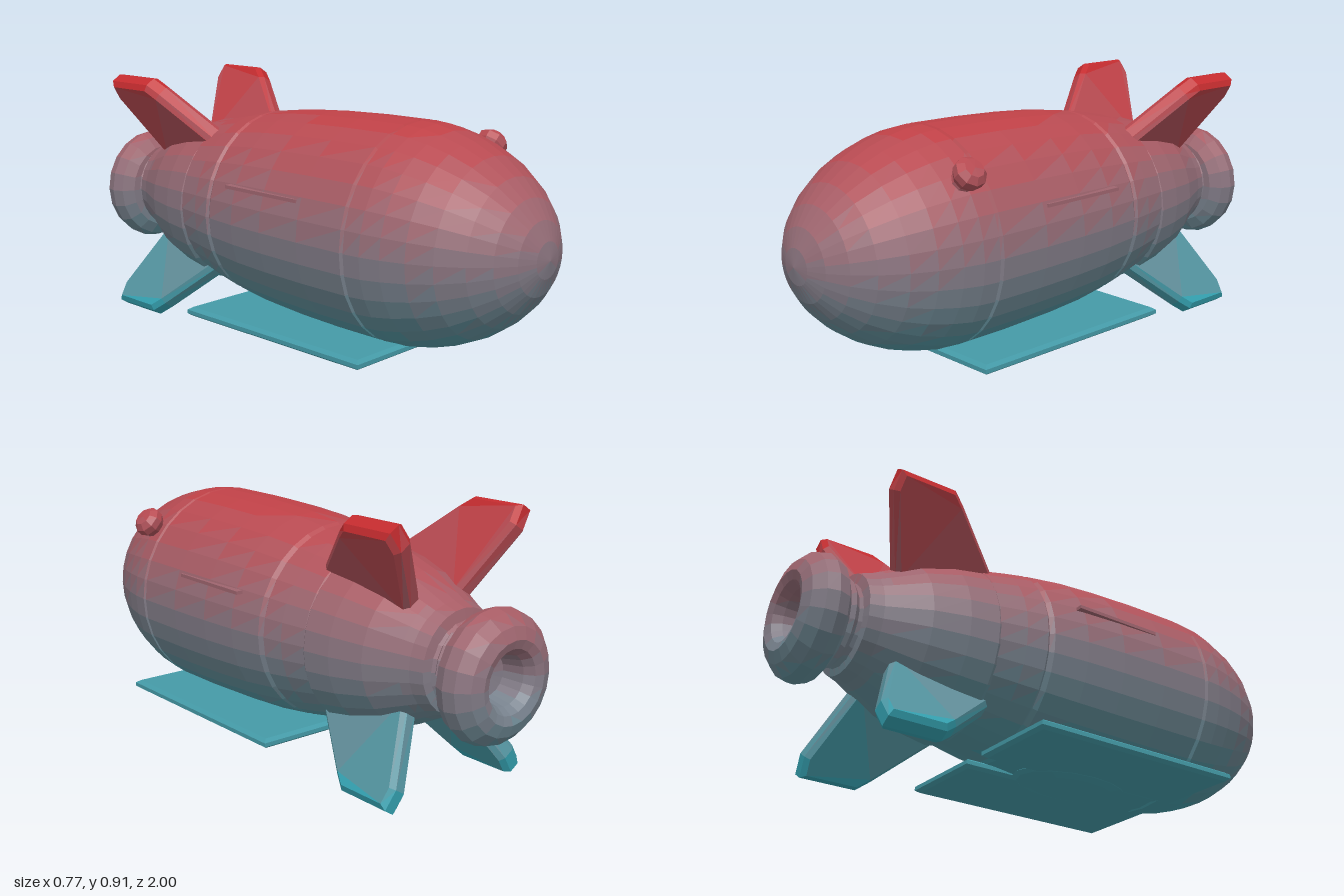
import * as THREE from 'three';

const AXIS_Y = 0.46;
const RAMP = [
  [0, 0x2aa5b5], [0.12, 0x4a97a3], [0.45, 0x877681], [0.72, 0xb0525a], [0.84, 0xbf4248], [0.94, 0xc81a1a],
];

// Colour for a height, from teal at the bottom to red at the top
function colorAt(y) {
  let i = 1;
  while (i < RAMP.length - 1 && y > RAMP[i][0]) i++;
  const [y0, c0] = RAMP[i - 1], [y1, c1] = RAMP[i];
  const t = THREE.MathUtils.clamp((y - y0) / (y1 - y0), 0, 1);
  return new THREE.Color(c0).lerp(new THREE.Color(c1), t);
}

const BANDS = 16;
const materials = Array.from({ length: BANDS }, (_, i) => new THREE.MeshStandardMaterial({
  color: colorAt((i + 0.5) / BANDS), flatShading: true, side: THREE.DoubleSide,
}));

// Sort a placed geometry's triangles into coloured height bands
function banded(name, geometry) {
  const pos = (geometry.index ? geometry.toNonIndexed() : geometry).attributes.position.array;
  const lists = materials.map(() => []);
  for (let i = 0; i < pos.length; i += 9) {
    const y = (pos[i + 1] + pos[i + 4] + pos[i + 7]) / 3;
    lists[THREE.MathUtils.clamp(Math.floor(y * BANDS), 0, BANDS - 1)].push(...pos.slice(i, i + 9));
  }
  const group = new THREE.Group();
  group.name = name;
  lists.forEach((list, i) => {
    if (!list.length) return;
    const g = new THREE.BufferGeometry();
    g.setAttribute('position', new THREE.Float32BufferAttribute(list, 3));
    g.computeVertexNormals();
    const mesh = new THREE.Mesh(g, materials[i]);
    mesh.name = name + 'Band';
    group.add(mesh);
  });
  return group;
}

// Round part along z from [z, radius] pairs, listed back to front
function turned(name, profile, centerY, sides) {
  const g = new THREE.LatheGeometry(profile.map(([z, r]) => new THREE.Vector2(r, z)), sides);
  g.rotateX(Math.PI / 2).translate(0, centerY, 0);
  return banded(name, g);
}

// Swept fin standing out from the axis at an angle
function fin(name, degrees) {
  const outline = [[0.2, -0.34], [0.29, -0.34], [0.48, -0.53], [0.515, -0.57], [0.515, -0.755], [0.46, -0.76], [0.2, -0.66]];
  const g = new THREE.ExtrudeGeometry(new THREE.Shape(outline.map(([r, z]) => new THREE.Vector2(r, z))), {
    depth: 0.04, bevelEnabled: true, bevelThickness: 0.018, bevelSize: 0.015, bevelSegments: 1,
  });
  g.translate(0, 0, -0.02);
  const a = THREE.MathUtils.degToRad(degrees), c = Math.cos(a), s = Math.sin(a);
  g.applyMatrix4(new THREE.Matrix4().makeBasis(
    new THREE.Vector3(c, s, 0), new THREE.Vector3(0, 0, 1), new THREE.Vector3(s, -c, 0)));
  return banded(name, g.translate(0, AXIS_Y, 0));
}

export function createModel() {
  const model = new THREE.Group();
  model.name = 'airship';

  // Hull: tapered tail, mid section and rounded nose, with seams between them
  model.add(turned('tailCone', [
    [-0.8, 0.1], [-0.785, 0.175], [-0.74, 0.19], [-0.71, 0.205], [-0.6, 0.26], [-0.48, 0.295], [-0.38, 0.312], [-0.36, 0.3],
  ], 0.45, 28));
  model.add(turned('hull', [
    [-0.39, 0.29], [-0.375, 0.308], [-0.28, 0.328], [-0.205, 0.342], [-0.195, 0.334], [-0.18, 0.346],
    [-0.05, 0.363], [0.1, 0.373], [0.28, 0.379], [0.472, 0.38], [0.48, 0.368],
  ], AXIS_Y, 32));
  model.add(turned('nose', [
    [0.48, 0.368], [0.488, 0.38], [0.55, 0.375], [0.62, 0.36], [0.7, 0.335], [0.78, 0.298],
    [0.86, 0.243], [0.92, 0.185], [0.965, 0.122], [0.99, 0.06], [1, 0],
  ], AXIS_Y, 32));

  // Neck and hollow tail ring
  model.add(turned('neck', [
    [-0.87, 0.15], [-0.845, 0.125], [-0.82, 0.155], [-0.8, 0.135], [-0.77, 0.17],
  ], 0.445, 20));
  model.add(turned('tailRing', [
    [-0.88, 0], [-0.89, 0.07], [-0.96, 0.085], [-0.99, 0.105], [-1, 0.135], [-0.985, 0.175],
    [-0.95, 0.21], [-0.91, 0.22], [-0.87, 0.205], [-0.845, 0.165], [-0.84, 0.1],
  ], 0.435, 20));

  // Four tail fins
  for (const [name, degrees] of [
    ['upperLeftFin', 57], ['upperRightFin', 123], ['lowerLeftFin', -57], ['lowerRightFin', -123],
  ]) model.add(fin(name, degrees));

  for (const side of [1, -1]) {
    const label = side > 0 ? 'left' : 'right';

    // Flat landing plate with slim bevelled edges
    const shape = new THREE.Shape([[0.06, -0.25], [0.37, -0.25], [0.37, 0.545], [0.06, 0.545]]
      .map(([x, z]) => new THREE.Vector2(side * x, -z)));
    const plate = new THREE.ExtrudeGeometry(shape, {
      depth: 0.014, bevelEnabled: true, bevelThickness: 0.01, bevelSize: 0.015, bevelSegments: 1,
    });
    plate.rotateX(-Math.PI / 2).translate(0, 0.1, 0);
    model.add(banded(label + 'LandingPlate', plate));

    // Thin raised seam along the flank
    const seam = new THREE.BoxGeometry(0.025, 0.012, 0.34);
    seam.translate(side * 0.347, 0.59, 0.09);
    model.add(banded(label + 'FlankSeam', seam));
  }

  // Shallow belly keel
  const keel = new THREE.SphereGeometry(1, 16, 8);
  keel.scale(0.14, 0.03, 0.24).translate(0, 0.1, 0.15);
  model.add(banded('bellyKeel', keel));

  // Knob on the left shoulder of the nose
  const knob = new THREE.LatheGeometry([
    [0.05, -0.07], [0.04, 0], [0.055, 0.025], [0.055, 0.05], [0.035, 0.07], [0, 0.072],
  ].map(([r, h]) => new THREE.Vector2(r, h)), 9);
  knob.rotateZ(-0.84).translate(0.28, 0.71, 0.55);
  model.add(banded('shoulderKnob', knob));

  return model;
}
